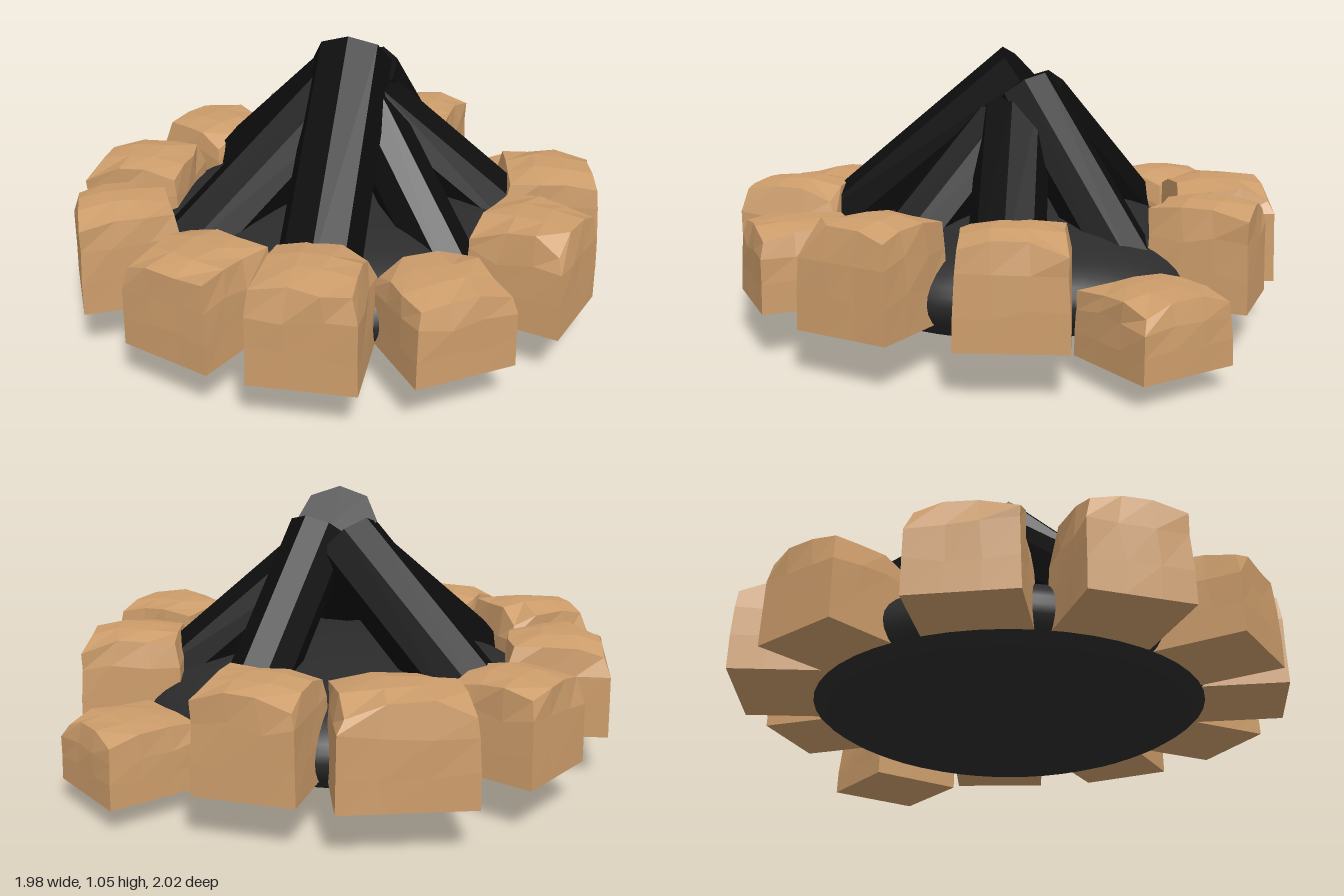
import * as THREE from 'three';

const woodMat = new THREE.MeshStandardMaterial({ color: 0x0d0d0d, flatShading: true });
const ashMat = new THREE.MeshStandardMaterial({ color: 0x2b2b2b });
const stoneMat = new THREE.MeshStandardMaterial({ color: 0xcd9d6b, flatShading: true });

// Repeatable noise in -1..1, equal for equal positions so corners stay joined
function noise(x, y, z, seed) {
  const s = Math.sin(x * 12.9 + y * 78.2 + z * 37.7 + seed * 4.13) * 43758.5;
  return (s - Math.floor(s)) * 2 - 1;
}

// Chiselled block: square flat base, worn and chipped top
function makeStone(x, z, angle, w, d, y0, y1, seed) {
  const h = y1 - y0;
  const geo = new THREE.BoxGeometry(1, 1, 1, 3, 3, 3);
  const p = geo.attributes.position;
  for (let i = 0; i < p.count; i++) {
    const a = Math.round((p.getX(i) + 0.5) * 3);
    const b = Math.round((p.getY(i) + 0.5) * 3);
    const c = Math.round((p.getZ(i) + 0.5) * 3);
    const edgeX = a === 0 || a === 3;
    const edgeZ = c === 0 || c === 3;
    let px = a / 3 - 0.5, py = b / 3, pz = c / 3 - 0.5;
    if (b > 0) {
      const pull = [0, 0.01, 0.03, 0.09][b];
      const wear = 1 - pull * (1 + 0.8 * noise(a, b, c, seed));
      px = px * wear + (edgeX ? 0 : 0.04 * noise(a, b, c, seed + 7));
      pz = pz * wear + (edgeZ ? 0 : 0.04 * noise(a, b, c, seed + 13));
      if (b < 3) py += 0.05 * noise(a, b, c, seed + 3);
      else if (edgeX || edgeZ) {
        const drop = edgeX && edgeZ ? 0.13 : 0.05;
        py -= drop * (1 + 0.6 * noise(a, b, c, seed + 5));
      }
    }
    p.setXYZ(i, px * w, py * h, pz * d);
  }
  geo.computeVertexNormals();
  const stone = new THREE.Mesh(geo, stoneMat);
  stone.position.set(x, y0, z);
  stone.rotation.y = -angle;
  return stone;
}

// Eight-sided log from its top centre to its foot, one edge facing up
function makeLog(top, foot, radius) {
  const a = new THREE.Vector3(...top);
  const dir = a.clone().sub(new THREE.Vector3(...foot));
  const length = dir.length();
  const yAxis = dir.normalize();
  const xAxis = new THREE.Vector3(0, 1, 0).cross(yAxis).normalize();
  const zAxis = xAxis.clone().cross(yAxis);
  const geo = new THREE.CylinderGeometry(radius, radius, length, 8);
  geo.translate(0, -length / 2, 0);
  const log = new THREE.Mesh(geo, woodMat);
  log.quaternion.setFromRotationMatrix(new THREE.Matrix4().makeBasis(xAxis, yAxis, zAxis));
  log.position.copy(a);
  return log;
}

export function createModel() {
  const model = new THREE.Group();
  model.name = 'campfire';

  // Flattened mound of ash
  const ash = new THREE.Mesh(new THREE.SphereGeometry(1, 48, 24), ashMat);
  ash.name = 'ashMound';
  ash.scale.set(0.765, 0.24, 0.765);
  ash.position.set(0, 0.24, -0.02);
  model.add(ash);

  // Charred logs leaning together: top, foot, radius
  const logs = new THREE.Group();
  logs.name = 'logs';
  [
    [[0.02, 0.935, -0.08], [0.02, 0.3, 0.68], 0.15],
    [[-0.02, 0.85, -0.09], [-0.58, 0.27, -0.45], 0.14],
    [[-0.03, 0.8, -0.02], [-0.52, 0.28, 0.42], 0.14],
    [[0.08, 0.89, -0.08], [0.31, 0.27, -0.5], 0.12],
    [[0.08, 0.79, -0.04], [0.68, 0.27, -0.12], 0.135],
    [[0.08, 0.78, -0.01], [0.46, 0.27, 0.35], 0.12],
  ].forEach((l, i) => {
    const log = makeLog(...l);
    log.name = 'log' + (i + 1);
    logs.add(log);
  });
  model.add(logs);

  // Ring of stones: x, z, angle, width, depth, bottom, top
  const stones = new THREE.Group();
  stones.name = 'stoneRing';
  [
    [0.05, 0.81, 0, 0.37, 0.38, 0.165, 0.535],
    [-0.365, 0.735, 0.41, 0.36, 0.36, 0.165, 0.505],
    [-0.73, 0.435, -0.45, 0.36, 0.36, 0.165, 0.535],
    [-0.81, -0.025, 0, 0.38, 0.37, 0.165, 0.52],
    [-0.64, -0.51, 0.57, 0.36, 0.35, 0.165, 0.505],
    [-0.27, -0.785, -0.2, 0.46, 0.38, 0.165, 0.535],
    [0.19, -0.77, 0.18, 0.36, 0.36, 0.165, 0.535],
    [0.68, -0.615, 0.8, 0.37, 0.36, 0.08, 0.33],
    [0.775, -0.175, -0.13, 0.37, 0.37, 0.165, 0.535],
    [0.74, 0.31, 0.34, 0.36, 0.36, 0.165, 0.535],
    [0.46, 0.675, -0.6, 0.37, 0.36, 0.165, 0.46],
  ].forEach((s, i) => {
    const stone = makeStone(...s, i + 1);
    stone.name = 'stone' + (i + 1);
    stones.add(stone);
  });
  model.add(stones);

  return model;
}
